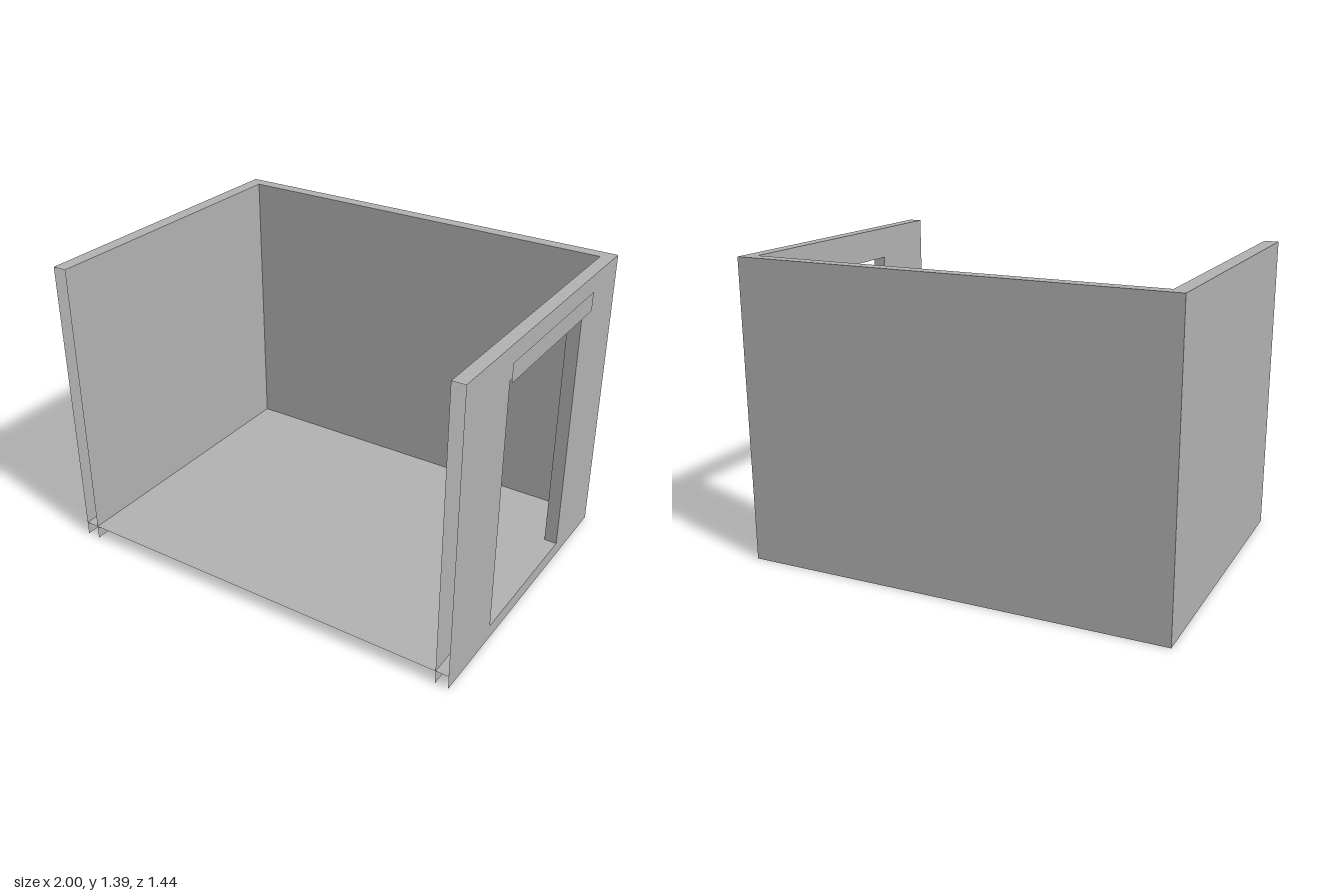
import * as THREE from 'three';

// Overall limits of the room shell
const L = -1, R = 0.975, B = -0.72, F = 0.72, H = 1.39;
// Inner wall faces and floor level
const IL = -0.935, IR = 0.915, IB = -0.66, FLOOR = 0.065;
// Doorway
const DOOR = 0.35, DOOR_TOP = 1.243;

export function createModel() {
  const room = new THREE.Group();
  room.name = 'room';
  const plaster = new THREE.MeshStandardMaterial({ color: 0xb2b2b2, side: THREE.DoubleSide });
  plaster.name = 'grey plaster';

  const add = (name, geometry, x, y, z, rx = 0, ry = 0) => {
    const mesh = new THREE.Mesh(geometry, plaster);
    mesh.name = name;
    mesh.position.set(x, y, z);
    mesh.rotation.set(rx, ry, 0);
    room.add(mesh);
  };

  // Sheets facing up or down, along z, and along x
  const flat = (name, x0, x1, z0, z1, y, face = 1) =>
    add(name, new THREE.PlaneGeometry(x1 - x0, z1 - z0), (x0 + x1) / 2, y, (z0 + z1) / 2, -face * Math.PI / 2);
  const across = (name, x0, x1, y0, y1, z, face = 1) =>
    add(name, new THREE.PlaneGeometry(x1 - x0, y1 - y0), (x0 + x1) / 2, (y0 + y1) / 2, z, 0, face > 0 ? 0 : Math.PI);
  const along = (name, z0, z1, y0, y1, x, face = 1) =>
    add(name, new THREE.PlaneGeometry(z1 - z0, y1 - y0), x, (y0 + y1) / 2, (z0 + z1) / 2, 0, face * Math.PI / 2);

  // Floor, raised inside the shell and open underneath
  flat('floor', L, R, B, F, FLOOR);

  // Back wall and left-hand wall: two skins each, open at the bottom and front
  across('backWallOuter', L, R, 0, H, B, -1);
  across('backWallInner', L, R, 0, H, IB, 1);
  along('plainWallOuter', B, F, 0, H, L, -1);
  along('plainWallInner', B, F, 0, H, IL, 1);

  // Door wall: two skins with a doorway cut through
  const wall = new THREE.Shape([[B, 0], [F, 0], [F, H], [B, H]].map(p => new THREE.Vector2(...p)));
  wall.holes.push(new THREE.Path([
    [-DOOR, FLOOR], [-DOOR, DOOR_TOP], [DOOR, DOOR_TOP], [DOOR, FLOOR],
  ].map(p => new THREE.Vector2(...p))));
  add('doorWallOuter', new THREE.ShapeGeometry(wall), R, 0, 0, 0, Math.PI / 2);
  add('doorWallInner', new THREE.ShapeGeometry(wall), IR, 0, 0, 0, -Math.PI / 2);

  // Doorway lining
  for (const s of [-1, 1]) across('doorJamb', IR, R, FLOOR, DOOR_TOP, s * DOOR, -s);
  flat('doorLintel', IR, R, -DOOR, DOOR, DOOR_TOP, -1);

  // Wall tops
  flat('backWallTop', L, R, B, IB, H);
  flat('plainWallTop', L, IL, IB, F, H);
  flat('doorWallTop', IR, R, IB, F, H);

  // Plate standing just off the wall above the door
  along('doorHeaderPlate', -0.39, 0.39, 1.255, 1.34, 1, 1);

  return room;
}
